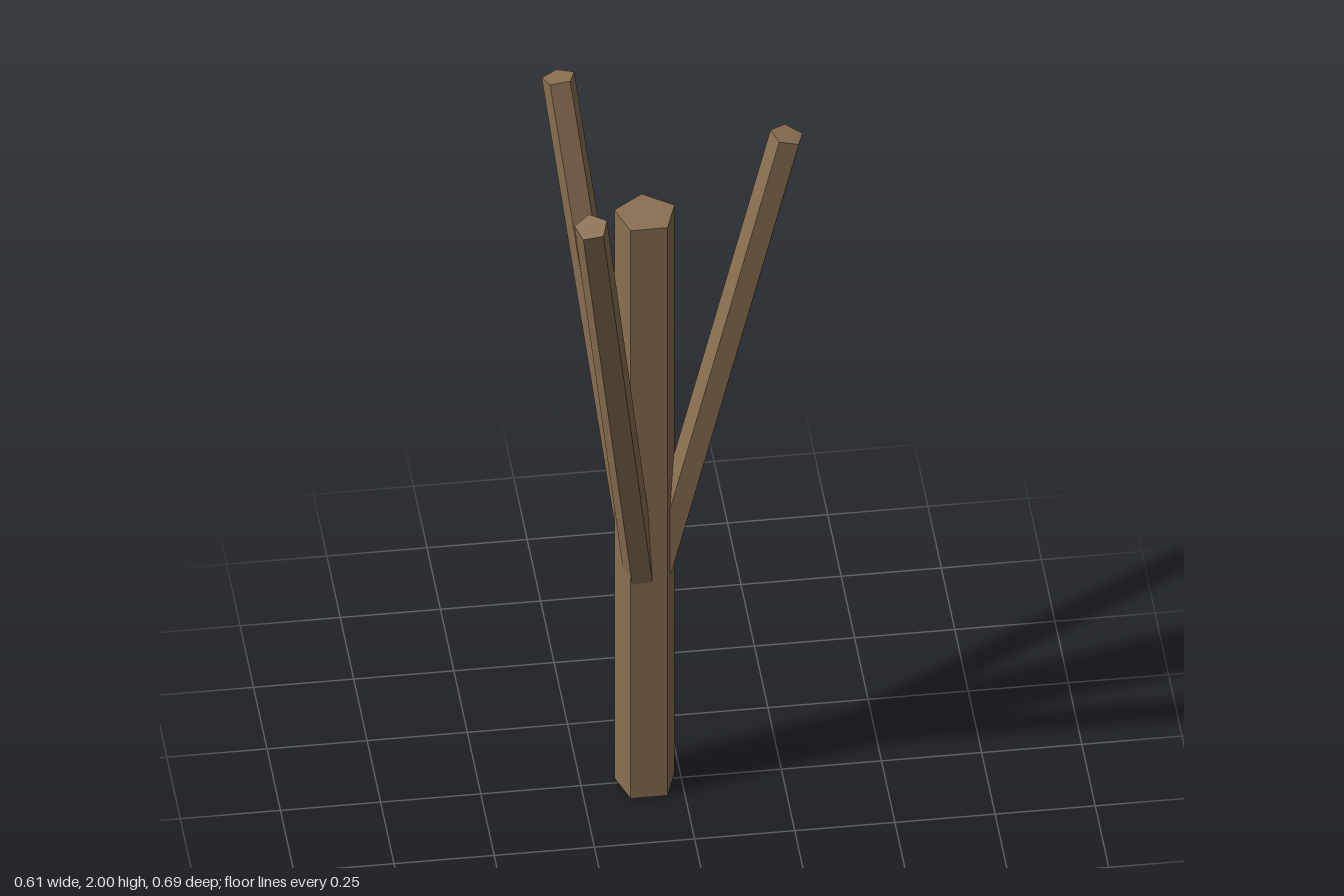
import * as THREE from 'three';

const CENTER = new THREE.Vector3(-0.089, 0, 0.004);

export function createModel() {
  const model = new THREE.Group();
  const bark = new THREE.MeshStandardMaterial({ color: 0x8b7053, flatShading: true });
  bark.name = 'bark brown';

  // Five-sided post between two points, one corner turned to the back
  function post(name, radius, from, to) {
    const axis = to.clone().sub(from);
    const geometry = new THREE.CylinderGeometry(radius, radius, axis.length(), 5);
    geometry.rotateY(Math.PI);
    const mesh = new THREE.Mesh(geometry, bark);
    mesh.name = name;
    mesh.position.copy(from).add(to).multiplyScalar(0.5);
    mesh.quaternion.setFromUnitVectors(new THREE.Vector3(0, 1, 0), axis.normalize());
    model.add(mesh);
  }

  // Point at a distance from the trunk axis
  const around = (angle, distance, y) =>
    new THREE.Vector3(Math.cos(angle) * distance, y, Math.sin(angle) * distance).add(CENTER);

  // Trunk
  post('trunk', 0.079, around(0, 0, 0), around(0, 0, 1.78));

  // Three branches leaning outwards, evenly spaced
  ['leftBranch', 'frontRightBranch', 'backRightBranch'].forEach((name, i) => {
    const angle = (i * Math.PI * 2) / 3;
    post(name, 0.043, around(angle, 0.034, 0.676), around(angle, 0.353, 1.99));
  });

  return model;
}
